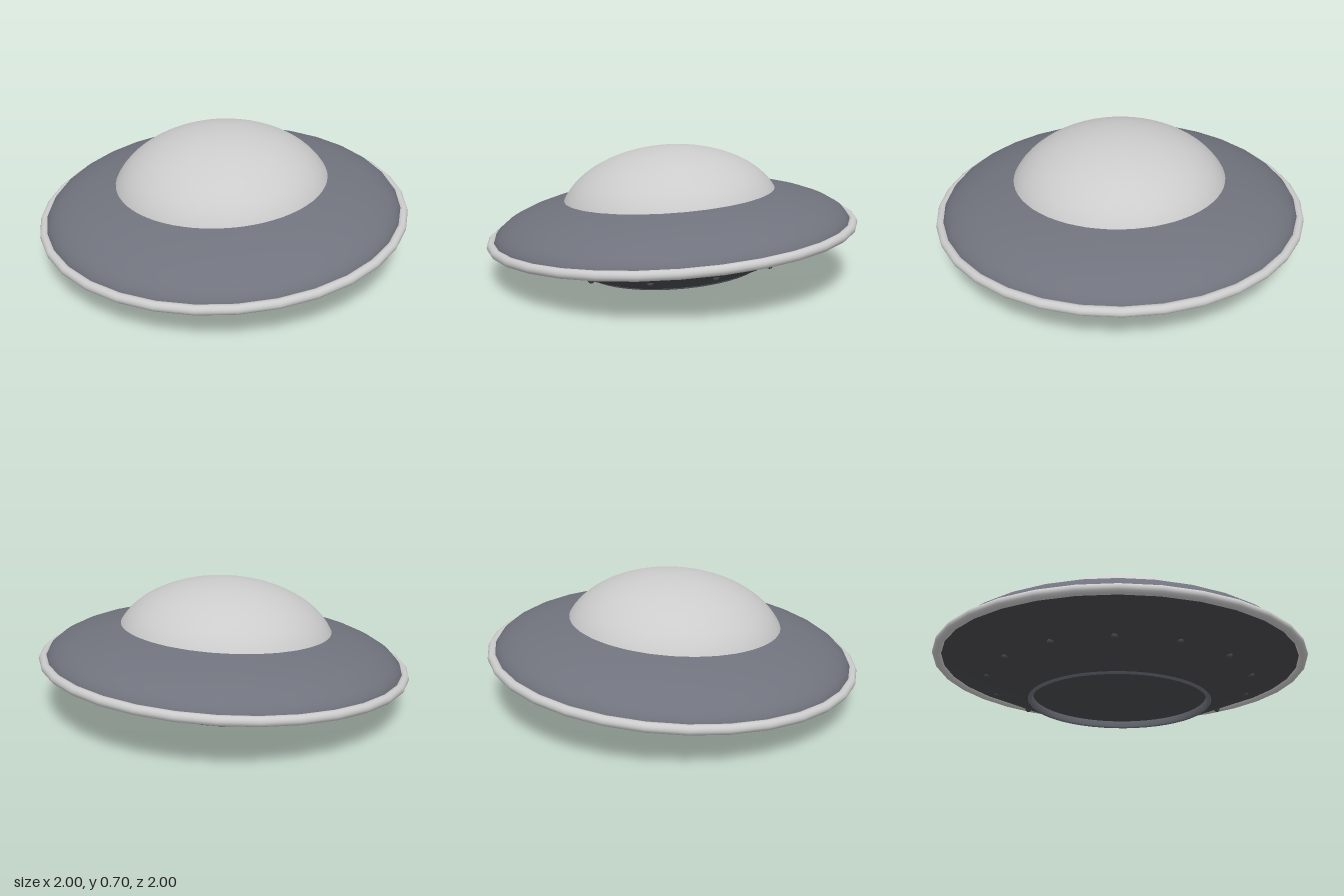
import * as THREE from 'three';

const SEG = 32;
const TILT = 0.067;

const mat = (color, side = THREE.FrontSide) => new THREE.MeshStandardMaterial({ color, side });

function add(parent, name, geometry, material) {
  const mesh = new THREE.Mesh(geometry, material);
  mesh.name = name;
  parent.add(mesh);
  return mesh;
}

// Lathe through [radius, height] points
const lathe = (points, seg = SEG) =>
  new THREE.LatheGeometry(points.map(([r, y]) => new THREE.Vector2(r, y)), seg);

// Upper part of an ellipse, from radius rMax inward to rMin
function ellipseProfile(a, b, y0, rMax, rMin, steps) {
  const t0 = Math.acos(rMax / a), t1 = Math.acos(rMin / a);
  return Array.from({ length: steps + 1 }, (_, i) => {
    const t = t0 + (t1 - t0) * i / steps;
    return [Math.max(a * Math.cos(t), 0), y0 + b * Math.sin(t)];
  });
}

export function createModel() {
  const model = new THREE.Group();
  const saucer = new THREE.Group();
  saucer.name = 'saucer';
  saucer.position.y = 0.25;
  saucer.rotation.set(0, 0.05, TILT, 'ZYX');
  model.add(saucer);

  const grey = mat(0xcccccc);
  const hull = mat(0x70737d, THREE.DoubleSide);
  const dark = mat(0x4a4b50, THREE.DoubleSide);

  // Dome and curved upper shell
  add(saucer, 'dome', lathe(ellipseProfile(0.6, 0.365, 0.083, 0.58, 0, 20), 64), grey);
  add(saucer, 'upperHull', lathe(ellipseProfile(0.965, 0.24, 0, 0.965, 0.55, 14)), hull);

  // Rounded rim around the widest point
  const rim = add(saucer, 'rim', new THREE.TorusGeometry(0.976, 0.025, 12, SEG), grey);
  rim.rotation.x = Math.PI / 2;

  // Conical underside with a recessed hatch
  add(saucer, 'lowerHull', lathe([[0.488, -0.208], [0.97, 0]]), dark);
  add(saucer, 'hatchRing', lathe([[0.462, -0.178], [0.464, -0.21], [0.472, -0.217], [0.482, -0.216], [0.488, -0.208]], 48), hull);
  const hatch = add(saucer, 'hatch', new THREE.CircleGeometry(0.464, 48), dark);
  hatch.rotation.x = Math.PI / 2;
  hatch.position.y = -0.18;

  // Ring of rivets on the underside
  const rivet = new THREE.SphereGeometry(0.017, 12, 8);
  for (let i = 0; i < 14; i++) {
    const a = i / 14 * Math.PI * 2;
    add(saucer, 'rivet', rivet, dark)
      .position.set(0.705 * Math.sin(a), -0.112, 0.705 * Math.cos(a));
  }
  return model;
}
